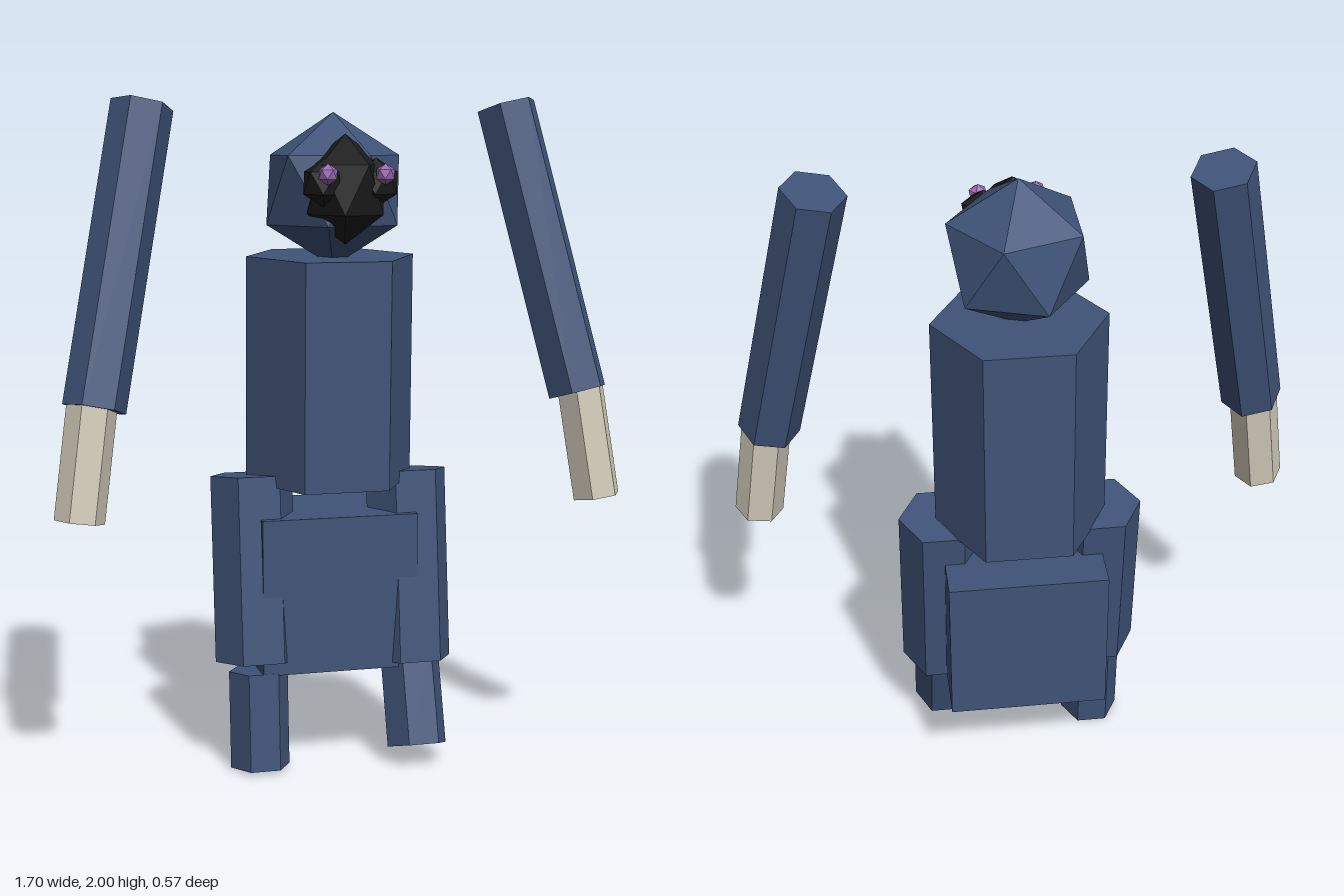
import * as THREE from 'three';

const paint = (name, color) => {
  const m = new THREE.MeshStandardMaterial({ color, flatShading: true });
  m.name = name;
  return m;
};

export function createModel() {
  const blue = paint('navy blue', 0x405479);
  const beige = paint('beige', 0xd3ccba);
  const black = paint('black', 0x1b1b1b);
  const purple = paint('purple', 0x9a6ab4);

  const model = new THREE.Group();
  model.name = 'figure';

  const add = (name, geometry, material, x = 0, y = 0, z = 0) => {
    const mesh = new THREE.Mesh(geometry, material);
    mesh.name = name;
    mesh.position.set(x, y, z);
    model.add(mesh);
    return mesh;
  };

  // Six-sided prism between two points, corners pointing to the sides
  const up = new THREE.Vector3(0, 1, 0);
  const prism = (name, material, radius, top, bottom) => {
    const a = new THREE.Vector3(...top);
    const b = new THREE.Vector3(...bottom);
    const axis = a.clone().sub(b);
    const geometry = new THREE.CylinderGeometry(radius, radius, axis.length(), 6);
    geometry.rotateY(Math.PI / 6);
    const mesh = add(name, geometry, material);
    mesh.position.copy(a).add(b).multiplyScalar(0.5);
    mesh.quaternion.setFromUnitVectors(up, axis.normalize());
  };

  // Icosahedron standing on one of its corners
  const ball = (radius) =>
    new THREE.IcosahedronGeometry(radius, 0).rotateZ(-Math.atan(2 / (1 + Math.sqrt(5))));

  // Trunk and hips
  prism('torso', blue, 0.255, [0, 1.537, -0.043], [0, 0.864, -0.063]);
  add('hips', new THREE.BoxGeometry(0.474, 0.47, 0.37), blue, 0, 0.535, -0.098);

  // Head with a dark face
  add('head', ball(0.224), blue, 0, 1.73, -0.01);
  add('face', ball(0.157).scale(0.8, 1, 1), black, 0, 1.735, 0.13);

  for (const [side, s] of [['left', 1], ['right', -1]]) {
    // Eyes and the dark patches behind them
    add(side + 'EyePatch', ball(0.07), black, s * 0.075, 1.755, 0.19);
    add(side + 'Eye', ball(0.03), purple, s * 0.083, 1.78, 0.258);

    // Arms
    prism(side + 'UpperArm', blue, 0.0915, [s * 0.55, 1.974, -0.064], [s * 0.727, 1.125, 0.115]);
    prism(side + 'Forearm', beige, 0.0725, [s * 0.732, 1.15, 0.12], [s * 0.78, 0.81, 0.153]);
  }

  // Legs, caught in mid stride
  prism('leftThigh', blue, 0.125, [0.24, 0.882, -0.058], [0.24, 0.306, 0.01]);
  prism('leftShin', blue, 0.092, [0.235, 0.32, 0.015], [0.235, 0.056, 0.1]);
  prism('rightThigh', blue, 0.125, [-0.24, 0.885, -0.058], [-0.24, 0.33, 0]);
  prism('rightShin', blue, 0.09, [-0.237, 0.3, 0.01], [-0.237, 0.007, 0.03]);

  return model;
}
